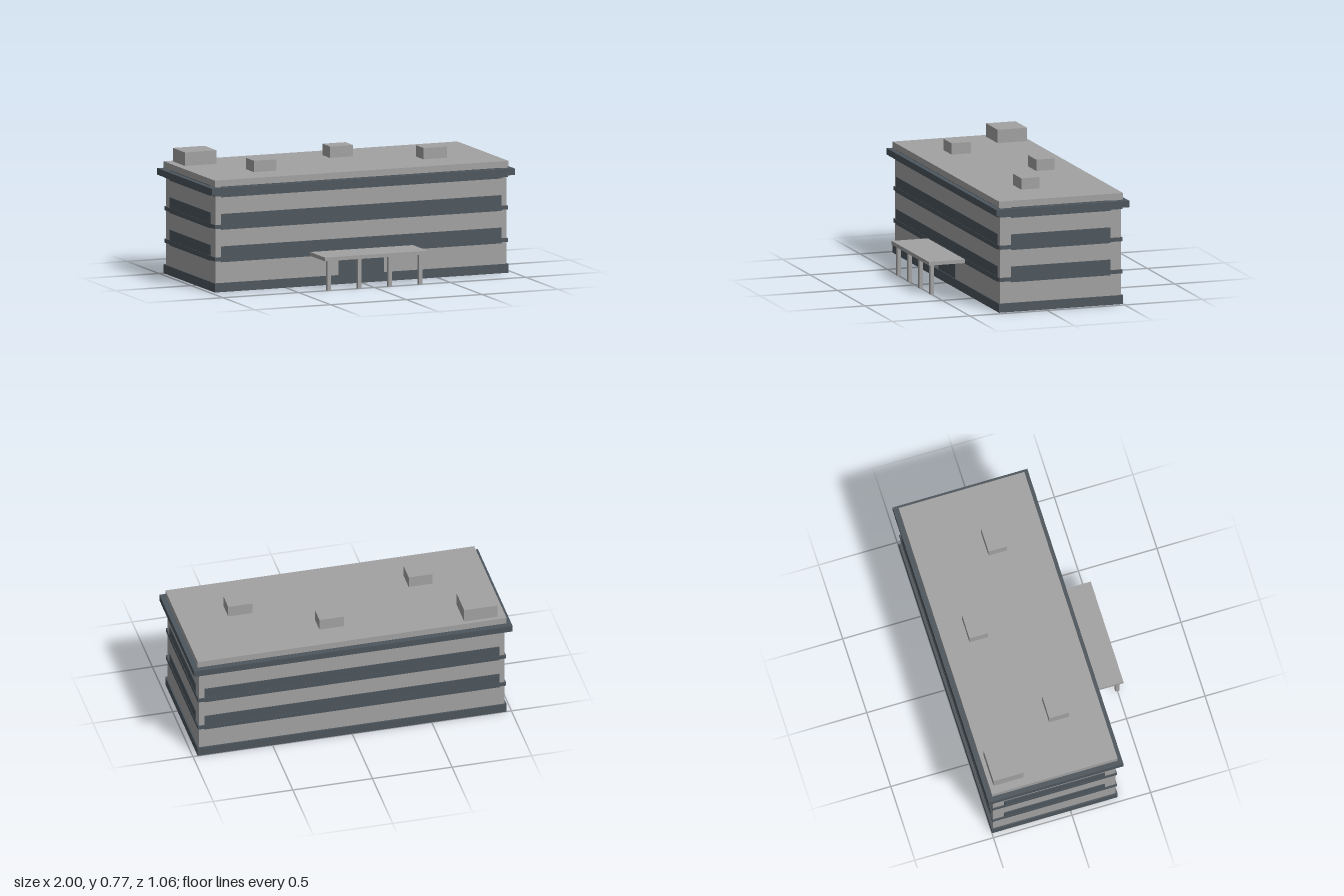
import * as THREE from 'three';

export function createModel() {
  const model = new THREE.Group();
  model.name = 'officeBuilding';

  const concrete = new THREE.MeshStandardMaterial({ color: 0xa2a2a2 });
  concrete.name = 'concreteGrey';
  const slate = new THREE.MeshStandardMaterial({ color: 0x4d565d });
  slate.name = 'slateBlue';

  // Box given by its extents along each axis
  function box(name, material, [x0, x1], [y0, y1], [z0, z1], parent = model) {
    const mesh = new THREE.Mesh(new THREE.BoxGeometry(x1 - x0, y1 - y0, z1 - z0), material);
    mesh.position.set((x0 + x1) / 2, (y0 + y1) / 2, (z0 + z1) / 2);
    mesh.name = name;
    parent.add(mesh);
    return mesh;
  }

  // Main block; the plinth has a concrete underside
  box('walls', concrete, [-0.96, 0.96], [0.05, 0.655], [-0.49, 0.29]);
  box('plinth', [slate, slate, slate, concrete, slate, slate],
    [-0.97, 0.97], [0, 0.055], [-0.5, 0.3]);

  // Ledge and window strips on each upper storey
  for (let i = 0; i < 3; i++) {
    const storey = new THREE.Group();
    storey.name = 'storey' + (i + 1);
    model.add(storey);
    const y = 0.183 + i * 0.2;
    const windowY = [y, Math.min(y + 0.097, 0.652)];
    box('ledge', slate, [-0.967, 0.967], [y + 0.007, y + 0.031], [-0.497, 0.297], storey);
    box('frontWindows', slate, [-0.925, 0.925], windowY, [0.286, 0.295], storey);
    box('backWindows', slate, [-0.925, 0.925], windowY, [-0.495, -0.486], storey);
    for (const side of [-1, 1]) {
      const xs = [0.956 * side, 0.965 * side].sort((a, b) => a - b);
      box(side > 0 ? 'leftWindows' : 'rightWindows', slate, xs, windowY, [-0.42, 0.22], storey);
    }
  }

  // Roof
  box('cornice', slate, [-1, 1], [0.605, 0.645], [-0.53, 0.328]);
  box('roofSlab', concrete, [-0.97, 0.97], [0.65, 0.69], [-0.5, 0.3]);
  const units = [
    [-0.92, -0.71, 0.773, -0.475, -0.285],
    [-0.625, -0.475, 0.76, -0.03, 0.095],
    [0.012, 0.165, 0.76, -0.342, -0.225],
    [0.515, 0.668, 0.76, -0.067, 0.05],
  ];
  for (const [x0, x1, top, z0, z1] of units) {
    box('roofUnit', concrete, [x0, x1], [0.685, top], [z0, z1]);
  }

  // Entrance with canopy on four posts
  box('entranceDoors', slate, [-0.15, 0.15], [0.03, 0.188], [0.286, 0.295]);
  box('canopy', concrete, [-0.34, 0.34], [0.187, 0.21], [0.28, 0.53]);
  for (const x of [-0.302, -0.101, 0.101, 0.302]) {
    box('canopyPost', concrete, [x - 0.012, x + 0.012], [0, 0.188], [0.487, 0.511]);
  }

  return model;
}
